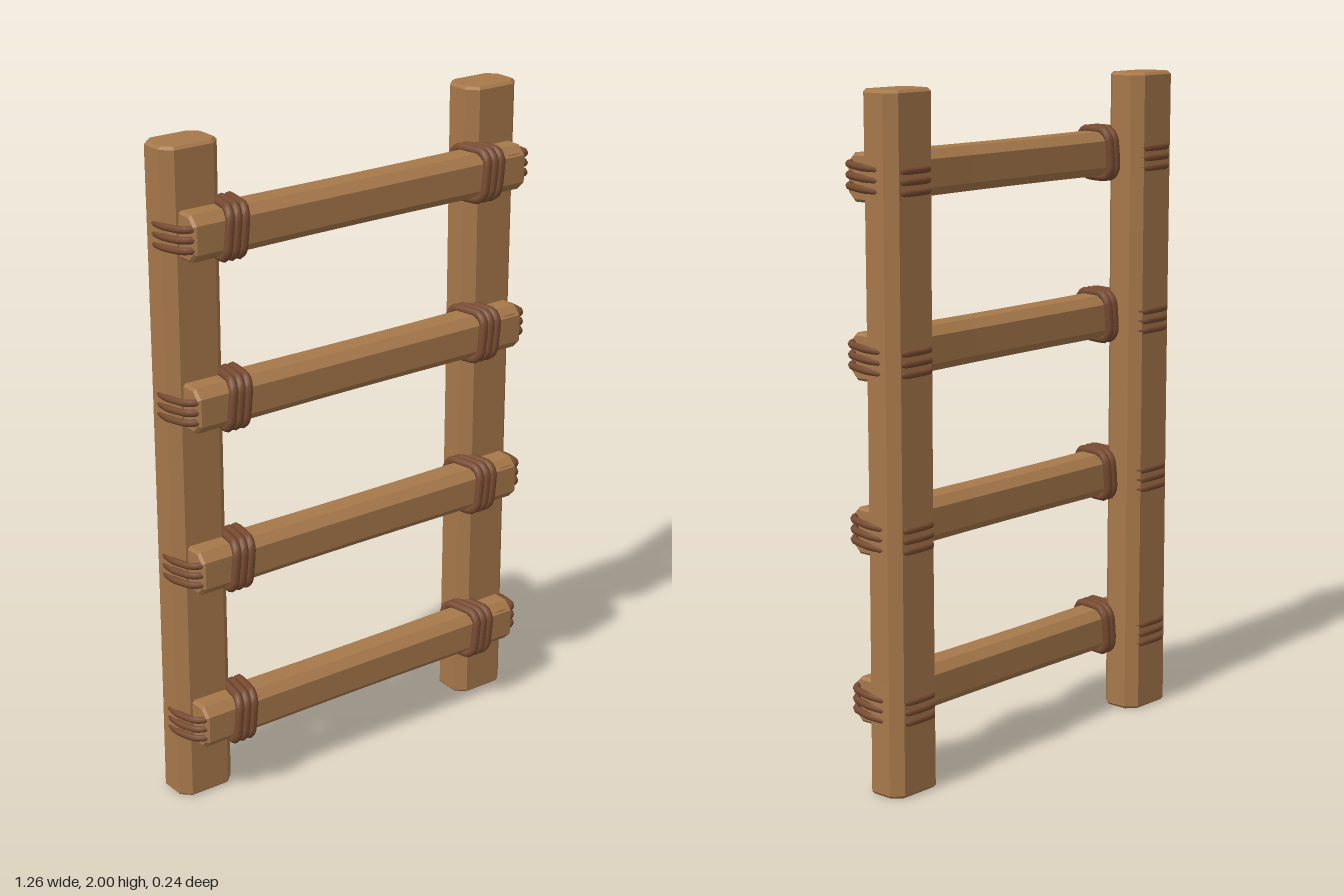
import * as THREE from 'three';

const wood = new THREE.MeshStandardMaterial({ color: 0xa6784a });
wood.name = 'wood';
const cord = new THREE.MeshStandardMaterial({ color: 0x764a30 });
cord.name = 'cord';

// Chamfered beam centred on the origin, running along z, pinched slightly in the middle
function beam(w, h, length, chamfer, pinch) {
  const b = 0.008, x = w / 2 - b, y = h / 2 - b, c = chamfer;
  const shape = new THREE.Shape([
    [x - c, -y], [x, c - y], [x, y - c], [x - c, y],
    [c - x, y], [-x, y - c], [-x, c - y], [c - x, -y],
  ].map(([px, py]) => new THREE.Vector2(px, py)));
  const geo = new THREE.ExtrudeGeometry(shape, {
    depth: length - 2 * b, steps: 6, bevelEnabled: true,
    bevelThickness: b, bevelSize: b, bevelSegments: 1,
  });
  geo.translate(0, 0, b - length / 2);
  const p = geo.attributes.position;
  for (let i = 0; i < p.count; i++) {
    const t = p.getZ(i) / (length / 2);
    const s = 1 - pinch * (1 - t * t);
    p.setXY(i, p.getX(i) * s, p.getY(i) * s);
  }
  geo.computeVertexNormals();
  return geo;
}

// Closed loop of cord through a few points
function loop(points, radius) {
  const curve = new THREE.CatmullRomCurve3(points, true, 'catmullrom', 0.25);
  return new THREE.TubeGeometry(curve, 40, radius, 8, true);
}

function add(parent, name, geo, mat) {
  const mesh = new THREE.Mesh(geo, mat);
  mesh.name = name;
  parent.add(mesh);
  return mesh;
}

// Cord wound around the rung, leaning a little
function rungWrap(side, y) {
  const g = new THREE.Group();
  g.name = 'rungWrap';
  const outline = [[0.045, 0.07], [0.07, 0.045], [0.07, -0.045], [0.045, -0.07],
    [-0.045, -0.07], [-0.07, -0.045], [-0.07, 0.045], [-0.045, 0.07]];
  for (let k = -1; k <= 1; k++) {
    const pts = outline.map(([dy, dz]) => {
      const z = 0.038 + dz * 0.94;
      return new THREE.Vector3(
        side * (0.452 + k * 0.025 - 0.18 * (0.1 - z)) + dy * 0.1, y + dy, z);
    });
    add(g, 'cordLoop', loop(pts, 0.0135), cord);
  }
  return g;
}

// Cord passing behind the post and across the rung end
function postWrap(side, y) {
  const g = new THREE.Group();
  g.name = 'postWrap';
  const path = [[0.48, -0.109], [0.575, -0.109], [0.612, -0.06], [0.622, 0],
    [0.608, 0.066], [0.575, 0.086], [0.48, 0.08], [0.452, 0], [0.452, -0.06]];
  for (let k = -1; k <= 1; k++) {
    const pts = path.map(([x, z]) => new THREE.Vector3(
      side * x, y + k * 0.03 + 0.06 * z + side * 0.004, z));
    add(g, 'cordLoop', loop(pts, 0.0105), cord);
  }
  return g;
}

export function createModel() {
  const ladder = new THREE.Group();
  ladder.name = 'ladder';

  // Upright posts
  const postGeo = beam(0.188, 0.132, 2, 0.026, 0.02).rotateX(-Math.PI / 2);
  for (const side of [-1, 1]) {
    add(ladder, side > 0 ? 'leftPost' : 'rightPost', postGeo, wood)
      .position.set(side * 0.53, 1, -0.044);
  }

  // Rungs lashed to the front of the posts
  const rungGeo = beam(0.12, 0.136, 1.17, 0.022, 0.05).rotateY(Math.PI / 2);
  for (let i = 0; i < 4; i++) {
    const y = 0.255 + i * 0.5;
    add(ladder, 'rung', rungGeo, wood).position.set(0, y, 0.039);
    for (const side of [-1, 1]) ladder.add(rungWrap(side, y), postWrap(side, y));
  }
  return ladder;
}
